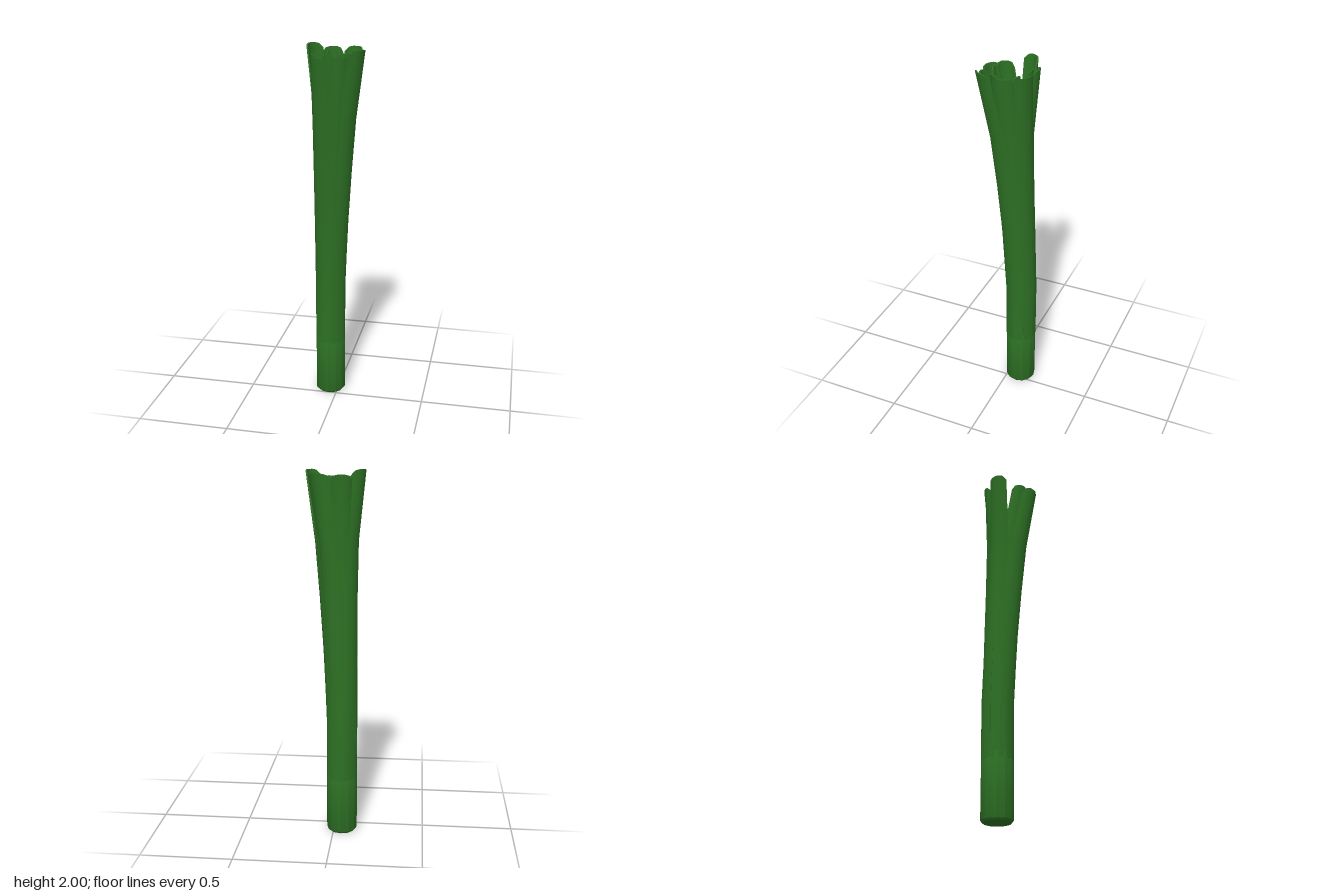
import * as THREE from 'three';
import { toCreasedNormals } from 'three/addons/utils/BufferGeometryUtils.js';

const STALK = { x: -0.045, z: -0.072, r: 0.084 };
const rad = THREE.MathUtils.degToRad;

// Closed skin over rings of equal length, each ring counter-clockwise from above.
function loft(rings) {
  const n = rings[0].length, pos = [];
  const quad = (a, b, c, d) => [a, b, c, a, c, d].forEach(p => pos.push(...p));
  for (let i = 0; i < rings.length - 1; i++) {
    for (let j = 0; j < n; j++) {
      const k = (j + 1) % n;
      quad(rings[i][j], rings[i][k], rings[i + 1][k], rings[i + 1][j]);
    }
  }
  const low = rings[0], top = rings[rings.length - 1];
  for (let k = 0; k < n / 2 - 1; k++) {
    quad(top[k], top[k + 1], top[n - 2 - k], top[n - 1 - k]);
    quad(low[n - 1 - k], low[n - 2 - k], low[k + 1], low[k]);
  }
  const geometry = new THREE.BufferGeometry();
  geometry.setAttribute('position', new THREE.Float32BufferAttribute(pos, 3));
  return toCreasedNormals(geometry, rad(50));
}

// Channel-shaped leaf: wraps the stalk at the bottom and flares to its tip.
function leafGeometry({ x, z, angle, r, top, base, pull }) {
  // height share, flare share, inward pull share
  const stations = [
    [0, 0, 0], [0.2, 0.01, 0], [0.43, 0.17, 0.45],
    [0.6, 0.34, 0.8], [0.78, 0.56, 1], [1, 1, 0],
  ];
  const a = rad(angle), steps = 6, half = rad(62), thick = 0.008;
  const dx = Math.sin(a), dz = Math.cos(a);
  const rings = stations.map(([h, t, p]) => {
    const R = THREE.MathUtils.lerp(base, r, t);
    const cx = THREE.MathUtils.lerp(STALK.x, x - r * dx, t) - pull * p * dx;
    const cz = THREE.MathUtils.lerp(STALK.z, z - r * dz, t) - pull * p * dz;
    const ring = [];
    const add = (k, inset) => {
      const u = (k / steps) * 2 - 1;
      const rr = R - inset, f = a + u * half;
      const y = THREE.MathUtils.lerp(0.32, top, h) - (h === 1 ? 0.028 * u ** 4 : 0);
      ring.push([cx + rr * Math.sin(f), y, cz + rr * Math.cos(f)]);
    };
    for (let k = 0; k <= steps; k++) add(k, 0);
    for (let k = steps; k >= 0; k--) add(k, thick);
    return ring;
  });
  return loft(rings);
}

export function createModel() {
  const model = new THREE.Group();
  model.name = 'leafStalk';
  const green = new THREE.MeshStandardMaterial({ color: 0x2d7024 });
  green.name = 'leafGreen';

  // Solid lower stalk with a slightly rounded foot
  const profile = [[0, 0], [0.074, 0], [0.084, 0.012], [0.084, 0.35], [0.07, 0.37], [0, 0.37]]
    .map(([r, y]) => new THREE.Vector2(r, y));
  const stalk = new THREE.Mesh(
    toCreasedNormals(new THREE.LatheGeometry(profile, 12).toNonIndexed(), rad(40)), green);
  stalk.name = 'stalk';
  stalk.position.set(STALK.x, 0, STALK.z);
  model.add(stalk);

  // Leaves: tip apex x, z, facing angle, tip radius, tip height, base radius, inward pull
  const leaves = [
    ['outerLeaf', -0.085, 0.132, -35, 0.069, 1.95, 0.083, 0],
    ['outerLeaf', 0.15, 0.09, 55, 0.066, 1.99, 0.082, 0],
    ['outerLeaf', 0.045, 0.126, 8, 0.056, 1.955, 0.085, 0],
    ['outerLeaf', 0.132, -0.035, 110, 0.06, 1.965, 0.084, 0],
    ['outerLeaf', 0.085, -0.152, 155, 0.066, 1.98, 0.082, 0.015],
    ['outerLeaf', -0.045, -0.16, 185, 0.062, 1.975, 0.085, 0.03],
    ['outerLeaf', -0.154, -0.094, -125, 0.066, 2.0, 0.083, 0.025],
    ['outerLeaf', -0.118, 0.062, -62, 0.056, 1.96, 0.08, 0.005],
    ['innerLeaf', 0.088, 0.044, 50, 0.056, 1.965, 0.068, 0],
    ['innerLeaf', -0.028, 0.086, -8, 0.036, 1.96, 0.066, 0],
    ['innerLeaf', -0.04, -0.125, 188, 0.042, 1.97, 0.066, 0.02],
    ['innerLeaf', 0.03, -0.076, 165, 0.04, 1.95, 0.055, 0.01],
  ];
  for (const [name, x, z, angle, r, top, base, pull] of leaves) {
    const leaf = new THREE.Mesh(leafGeometry({ x, z, angle, r, top, base, pull }), green);
    leaf.name = name;
    model.add(leaf);
  }
  return model;
}
